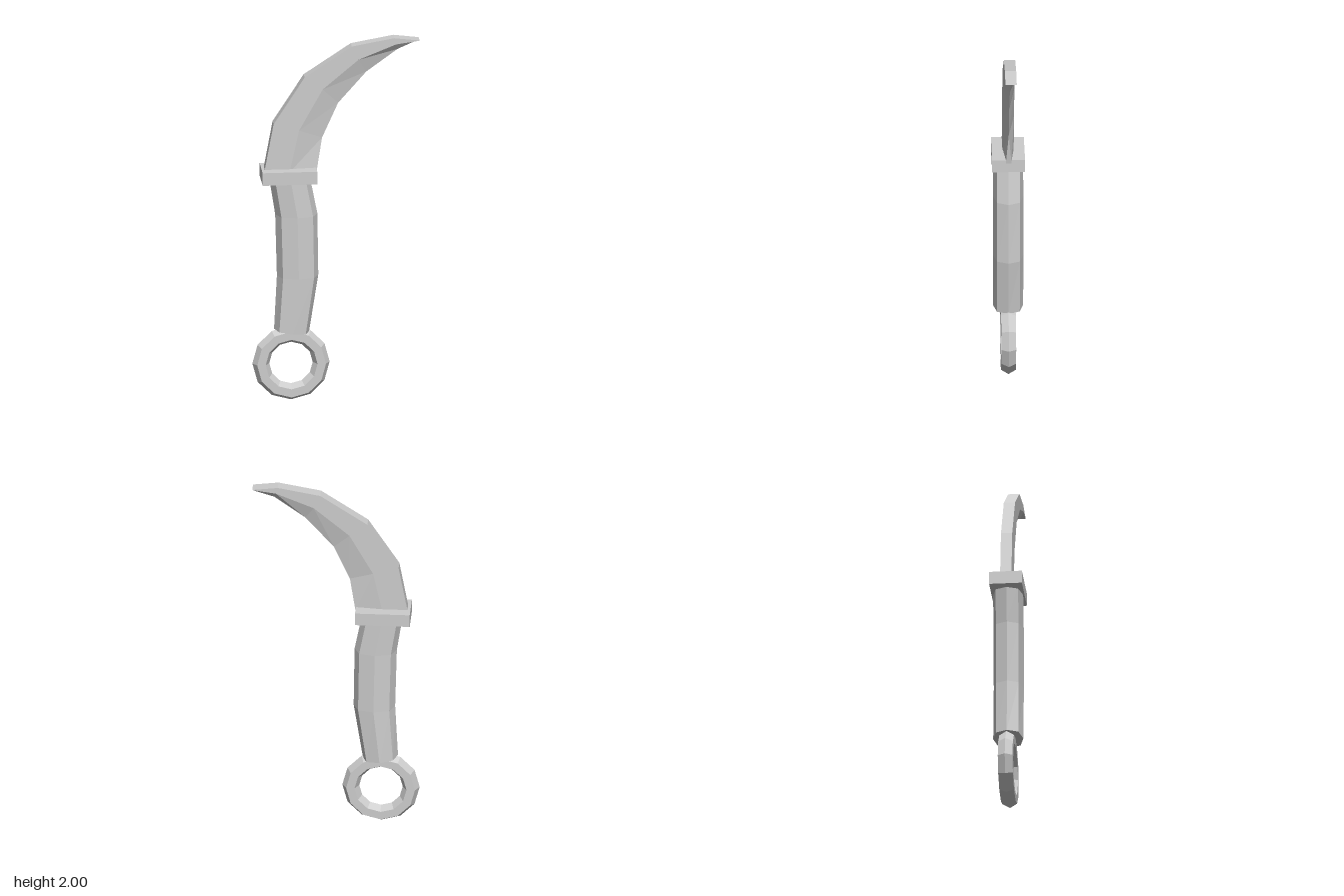
import * as THREE from 'three';

// Skin a list of cross-sections (counter-clockwise seen from above, bottom to top) with end caps.
function loft(sections) {
  const pos = [];
  const tri = (a, b, c) => pos.push(...a, ...b, ...c);
  const n = sections[0].length;
  for (let s = 0; s < sections.length - 1; s++) {
    const lo = sections[s], hi = sections[s + 1];
    for (let i = 0; i < n; i++) {
      const j = (i + 1) % n;
      tri(lo[i], lo[j], hi[j]);
      tri(lo[i], hi[j], hi[i]);
    }
  }
  const first = sections[0], last = sections[sections.length - 1];
  for (let i = 1; i < n - 1; i++) {
    tri(first[0], first[i + 1], first[i]);
    tri(last[0], last[i], last[i + 1]);
  }
  const geo = new THREE.BufferGeometry();
  geo.setAttribute('position', new THREE.Float32BufferAttribute(pos, 3));
  geo.computeVertexNormals();
  return geo;
}

export function createModel() {
  const group = new THREE.Group();
  const steel = new THREE.MeshStandardMaterial({ color: 0xcccccc, flatShading: true });
  steel.name = 'grey steel';
  const add = (name, geo) => {
    const mesh = new THREE.Mesh(geo, steel);
    mesh.name = name;
    group.add(mesh);
    return mesh;
  };

  // Curved blade: thick spine, bevel ridge, cutting edge; last value is edge half thickness
  const T = 0.03;
  const bladeRows = [
    [-0.385, 1.27, -0.25, 1.27, -0.105, 1.27, 0.015],
    [-0.335, 1.54, -0.2, 1.5, -0.075, 1.45, 0],
    [-0.17, 1.795, -0.075, 1.725, 0.01, 1.64, 0],
    [0.08, 1.96, 0.115, 1.885, 0.16, 1.81, 0],
    [0.305, 2.0, 0.315, 1.965, 0.325, 1.93, 0],
    [0.44, 1.983, 0.44, 1.982, 0.44, 1.981, 0],
  ];
  add('blade', loft(bladeRows.map(([sx, sy, rx, ry, ex, ey, e]) => [
    [ex, ey, -e], [rx, ry, -T], [sx, sy, -T],
    [sx, sy, T], [rx, ry, T], [ex, ey, e],
  ])));

  // Guard plate between blade and handle
  add('guard', new THREE.BoxGeometry(0.29, 0.07, 0.174)).position.set(-0.253, 1.253, 0);

  // Eight-sided bent handle: centre x, y, half width, drop towards the right
  const handleRows = [
    [-0.237, 0.385, 0.093, 0.01],
    [-0.205, 0.69, 0.11, 0],
    [-0.212, 1.03, 0.112, 0],
    [-0.247, 1.23, 0.108, 0],
  ];
  const octagon = [[1, 0], [0.75, -0.06], [0, -0.08], [-0.75, -0.06],
    [-1, 0], [-0.75, 0.06], [0, 0.08], [0.75, 0.06]];
  add('handle', loft(handleRows.map(([cx, y, w, drop]) =>
    octagon.map(([u, z]) => [cx + u * w, y - u * drop, z]))));

  // Finger ring at the end of the handle
  add('fingerRing', new THREE.TorusGeometry(0.16, 0.045, 6, 12)).position.set(-0.24, 0.205, 0);

  return group;
}
